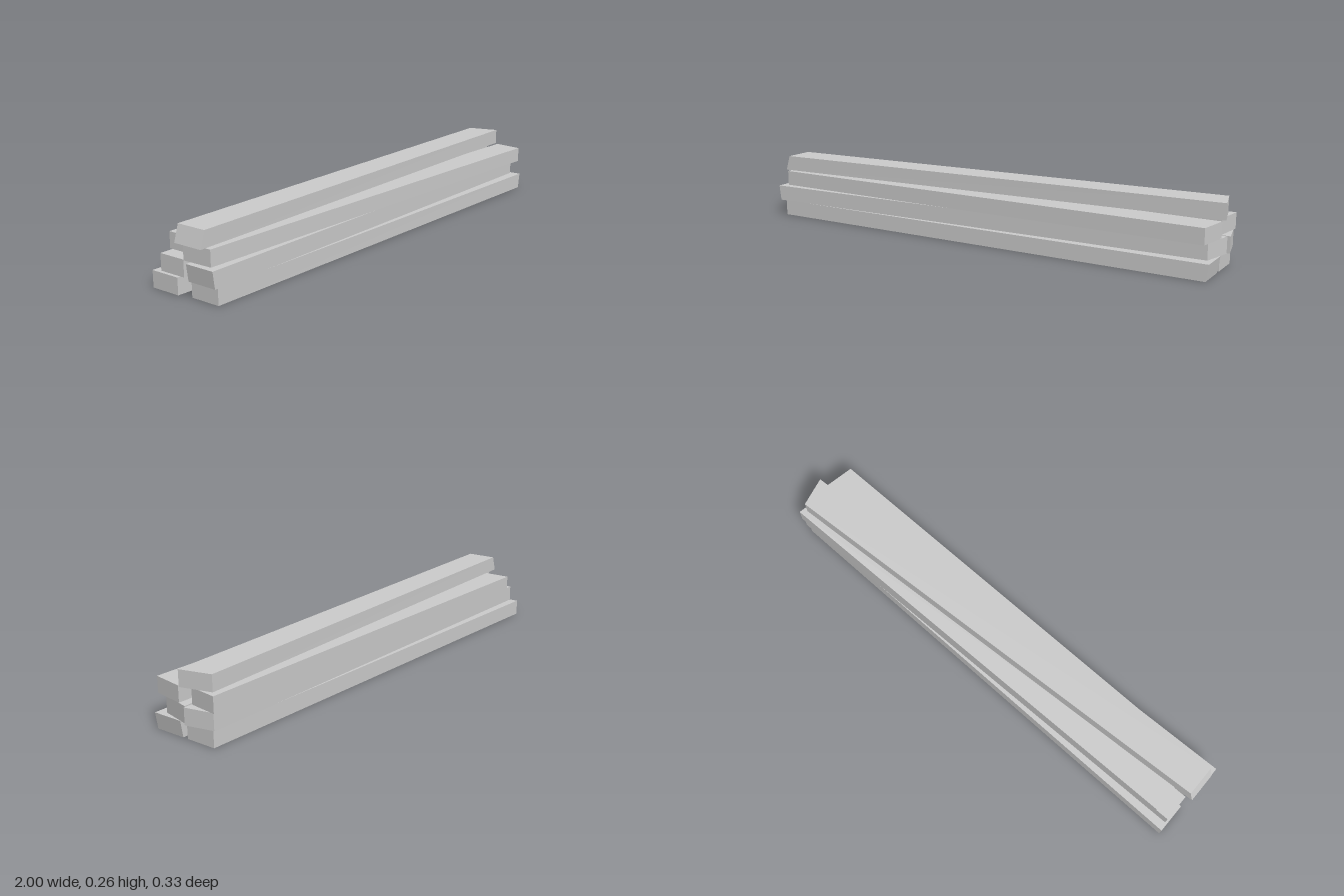
import * as THREE from 'three';

const material = new THREE.MeshStandardMaterial({ color: 0xcccccc, flatShading: true });

// One end of a beam: back and front z, x at the back and front corner, x shift at the bottom edge
const end = (zBack, zFront, xBack, xFront, foot = 0) => ({ zBack, zFront, xBack, xFront, foot });

// A box whose two ends are moved to the given cut corners
function beam(name, y0, y1, left, right) {
  const geometry = new THREE.BoxGeometry(1, 1, 1);
  const p = geometry.attributes.position;
  for (let i = 0; i < p.count; i++) {
    const e = p.getX(i) < 0 ? left : right;
    const front = p.getZ(i) > 0;
    const top = p.getY(i) > 0;
    p.setXYZ(i, (front ? e.xFront : e.xBack) + (top ? 0 : e.foot), top ? y1 : y0, front ? e.zFront : e.zBack);
  }
  geometry.computeVertexNormals();
  const mesh = new THREE.Mesh(geometry, material);
  mesh.name = name;
  return mesh;
}

export function createModel() {
  const group = new THREE.Group();
  group.name = 'beamStack';
  group.add(
    // bottom layer
    beam('bottomFrontBeam', 0, 0.064, end(0.015, 0.14, -0.97, -0.97), end(0.04, 0.165, 0.98, 0.98, -0.01)),
    beam('bottomBackBeam', 0, 0.064, end(-0.163, -0.038, -0.985, -0.985), end(-0.107, 0.018, 0.97, 0.97)),
    // second layer
    beam('secondFrontBeam', 0.066, 0.13, end(0.025, 0.15, -1, -1, 0.008), end(0.003, 0.125, 0.99, 0.96)),
    beam('secondBackBeam', 0.066, 0.13, end(-0.129, -0.015, -0.975, -0.975), end(-0.117, -0.004, 0.975, 1)),
    // third layer
    beam('thirdFrontBeam', 0.13, 0.192, end(-0.008, 0.117, -0.98, -0.975), end(0.04, 0.165, 0.98, 0.96)),
    beam('thirdBackBeam', 0.13, 0.192, end(-0.141, -0.022, -0.92, -0.92), end(-0.124, -0.008, 0.98, 0.965)),
    // single beam on top
    beam('topBeam', 0.193, 0.256, end(-0.027, 0.098, -0.98, -0.98, -0.02), end(-0.1, 0.025, 0.957, 0.99)),
  );
  return group;
}
